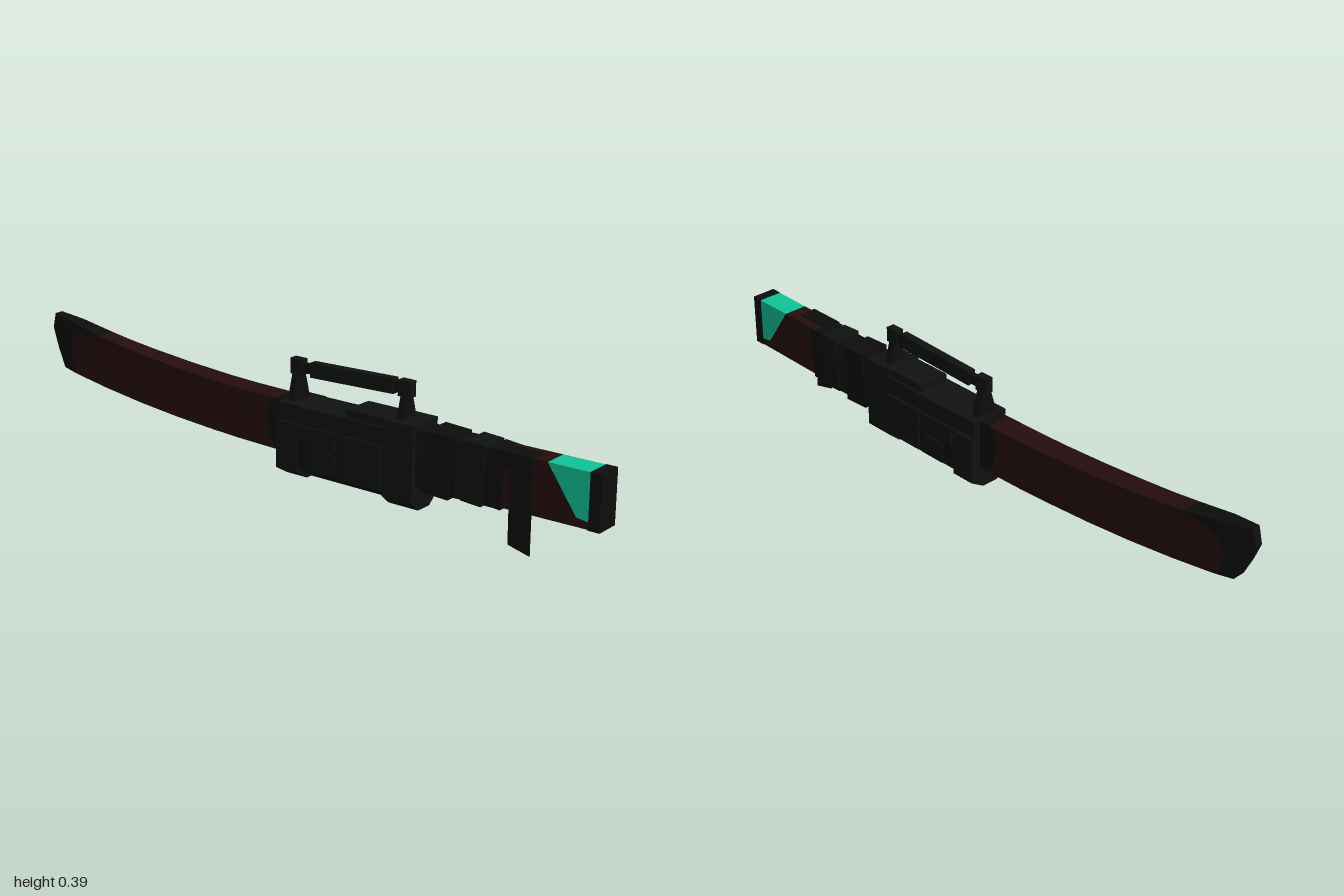
import * as THREE from 'three';

const mat = (name, color) => {
  const m = new THREE.MeshStandardMaterial({ color, flatShading: true, side: THREE.DoubleSide });
  m.name = name;
  return m;
};

export function createModel() {
  const black = mat('black', 0x0d0d0d);
  const charcoal = mat('charcoal', 0x101111);
  const maroon = mat('dark maroon', 0x250d0d);
  const teal = mat('teal', 0x10c498);
  const root = new THREE.Group();

  const add = (name, geo, material, parent = root) => {
    const m = new THREE.Mesh(geo, material);
    m.name = name;
    parent.add(m);
    return m;
  };
  const shapeOf = (pts) => new THREE.Shape(pts.map(([a, b]) => new THREE.Vector2(a, b)));

  // Box given by its limits
  const box = (name, x0, x1, y0, y1, z0, z1, material, parent) => {
    const g = new THREE.BoxGeometry(x1 - x0, y1 - y0, z1 - z0);
    const m = add(name, g, material, parent);
    m.position.set((x0 + x1) / 2, (y0 + y1) / 2, (z0 + z1) / 2);
    return m;
  };

  // Front outline (x, y) extruded from z0 to z1
  const prism = (name, pts, z0, z1, material, parent) => {
    const g = new THREE.ExtrudeGeometry(shapeOf(pts), { depth: z1 - z0, bevelEnabled: false });
    g.translate(0, 0, z0);
    return add(name, g, material, parent);
  };

  // Half width of the scabbard, narrowing to the tip
  const widths = [[-1, 0.011], [-0.97, 0.017], [-0.9, 0.025], [-0.8, 0.03], [-0.55, 0.035], [-0.2, 0.038], [1, 0.038]];
  const halfWidth = (z) => {
    for (let i = 1; i < widths.length; i++) {
      const [a, wa] = widths[i - 1], [b, wb] = widths[i];
      if (z <= b) return wa + (wb - wa) * Math.max(0, (z - a) / (b - a));
    }
    return 0.038;
  };

  // Side outline (z, y) extruded across x and tapered by the half width
  const sideSlab = (name, pts, material, grow = 0) => {
    const g = new THREE.ExtrudeGeometry(shapeOf(pts), { depth: 2, bevelEnabled: false });
    g.translate(0, 0, -1);
    g.rotateY(-Math.PI / 2);
    const p = g.attributes.position;
    for (let i = 0; i < p.count; i++) p.setX(i, p.getX(i) * (halfWidth(p.getZ(i)) + grow));
    g.computeVertexNormals();
    return add(name, g, material);
  };

  // Scabbard: shared boundary curves between the colour zones
  const topEdge = [[-0.2, 0.266], [-0.3, 0.27], [-0.45, 0.28], [-0.6, 0.294], [-0.7, 0.306]];
  const lowEdge = [[-0.86, 0.172], [-0.75, 0.157], [-0.6, 0.14], [-0.45, 0.127], [-0.3, 0.118], [-0.2, 0.114]];
  const tipCurve = [[-0.78, 0.318], [-0.86, 0.303], [-0.9, 0.285], [-0.91, 0.25], [-0.905, 0.2], [-0.89, 0.176]];
  const throatCurve = [[-0.03, 0.11], [-0.065, 0.113], [-0.09, 0.15], [-0.1, 0.2], [-0.09, 0.24], [-0.07, 0.264]];
  sideSlab('bladeSheath', [...throatCurve, ...topEdge, ...tipCurve, ...lowEdge], maroon);
  sideSlab('sheathTip', [...tipCurve, [-0.945, 0.185], [-0.975, 0.245], [-1, 0.305], [-0.985, 0.353], [-0.9, 0.34]], black);
  sideSlab('throatCollar', [...throatCurve, [0.02, 0.264], [0.02, 0.11]], black);

  // Mouth end with the slanted teal marking
  sideSlab('mouthSheath', [[0.4, 0.113], [0.966, 0.12], [0.966, 0.14], [0.93, 0.145], [0.84, 0.274], [0.4, 0.27]], maroon);
  sideSlab('tealMarking', [[0.966, 0.14], [0.966, 0.275], [0.84, 0.274], [0.93, 0.145]], teal);
  box('mouthCap', -0.0385, 0.0385, 0.118, 0.276, 0.966, 1, black);

  // Cloth wraps, stepped and slightly crooked
  const wraps = new THREE.Group();
  wraps.name = 'wraps';
  root.add(wraps);
  box('wrapBase', -0.041, 0.041, 0.111, 0.272, 0.43, 0.7, black, wraps);
  [
    [0.585, 0.65, 0.045, 0.107, 0.279, 0.06],
    [0.655, 0.71, 0.042, 0.112, 0.274, 0.09],
    [0.55, 0.59, 0.042, 0.11, 0.27, -0.05],
    [0.46, 0.545, 0.048, 0.102, 0.279, 0.05],
    [0.425, 0.47, 0.043, 0.11, 0.264, 0],
  ].forEach(([z0, z1, w, y0, y1, tilt], i) => {
    box('wrapBand' + (i + 1), -w, w, y0, y1, z0, z1, i % 2 ? black : charcoal, wraps).rotation.x = tilt;
  });

  // Loose strap: runs over the top edge, then hangs down on one side
  const strap = new THREE.Group();
  strap.name = 'strap';
  root.add(strap);
  box('strapTop', -0.044, 0.01, 0.272, 0.278, 0.7, 0.8, black, strap);
  box('strapEdge', -0.045, -0.038, 0.235, 0.277, 0.68, 0.8, black, strap);
  const tail = new THREE.ExtrudeGeometry(
    shapeOf([[0.8, 0.005], [0.732, 0.022], [0.73, 0.277], [0.8, 0.277]]), { depth: 0.003, bevelEnabled: false });
  tail.rotateY(-Math.PI / 2);
  tail.translate(-0.041, 0, 0);
  add('strapTail', tail, black, strap);

  // Mechanism housing: chamfered below, stepped sides
  const housing = new THREE.Group();
  housing.name = 'housing';
  root.add(housing);
  const hull = (w, y0, y1) => [[-0.026, y0], [0.026, y0], [w, y0 + 0.028], [w, y1], [-w, y1], [-w, y0 + 0.028]];
  prism('frontCollar', hull(0.058, 0.038, 0.287), 0.33, 0.43, charcoal, housing);
  prism('housingCore', hull(0.06, 0.054, 0.264), 0.03, 0.34, charcoal, housing);
  prism('sideCasing', hull(0.067, 0.054, 0.214), 0.03, 0.33, black, housing);
  prism('rearCollar', hull(0.072, 0.044, 0.214), -0.035, 0.04, charcoal, housing);
  prism('rearCollarTop', hull(0.06, 0.1, 0.266), -0.035, 0.04, charcoal, housing);
  box('topBlock', -0.05, 0.05, 0.25, 0.287, 0.2, 0.34, charcoal, housing);
  for (const s of [-1, 1]) {
    const plate = (name, y0, y1, z0, z1) => {
      const a = s * 0.06, b = s * 0.072;
      box(name, Math.min(a, b), Math.max(a, b), y0, y1, z0, z1, charcoal, housing);
    };
    plate('frontSidePanel', 0.085, 0.214, 0.19, 0.33);
    plate('midSidePanel', 0.085, 0.15, 0.09, 0.175);
    plate('rearSidePanel', 0.16, 0.214, 0.05, 0.175);
  }

  // Carrying handle: two flared posts, end blocks and a sloping bar
  const handle = new THREE.Group();
  handle.name = 'handle';
  root.add(handle);
  for (const [z, y1] of [[0.367, 0.392], [-0.01, 0.384]]) {
    prism('handlePost', [[-0.033, 0.26], [0.033, 0.26], [0.03, 0.29], [0.013, 0.35], [-0.013, 0.35], [-0.03, 0.29]],
      z - 0.011, z + 0.011, black, handle);
    box('handleEndBlock', -0.013, 0.013, y1 - 0.046, y1, z - 0.021, z + 0.021, charcoal, handle);
  }
  const slope = Math.atan2(0.012, 0.37);
  box('handleBar', -0.009, 0.009, 0.351, 0.378, -0.01, 0.367, black, handle).rotation.x = -slope;
  box('handleGrip', -0.013, 0.013, 0.343, 0.386, 0.04, 0.33, charcoal, handle).rotation.x = -slope;

  return root;
}
